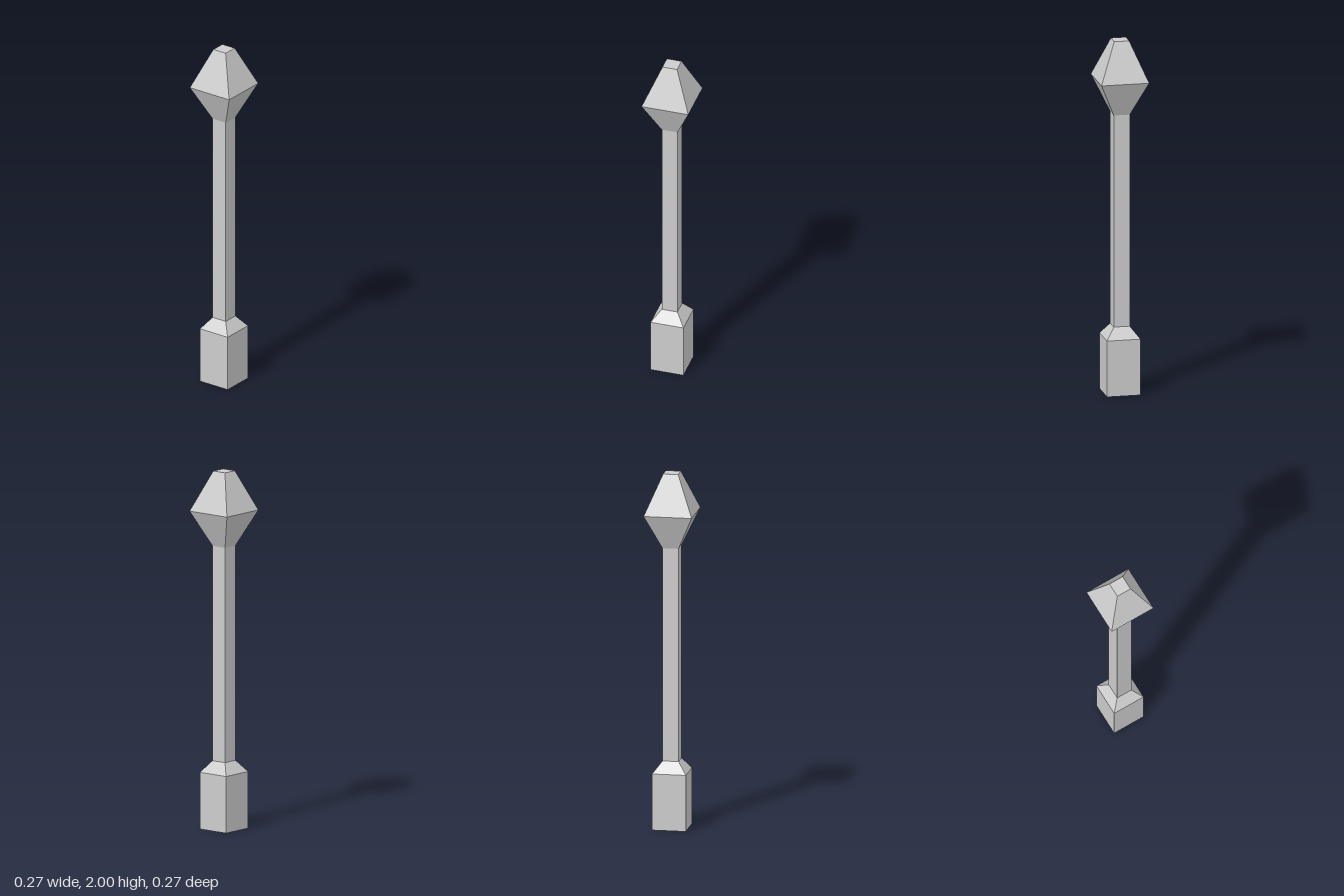
import * as THREE from 'three';

export function createModel() {
  const model = new THREE.Group();
  model.name = 'squarePost';

  const stone = new THREE.MeshStandardMaterial({ color: 0xcccccc, flatShading: true, side: THREE.DoubleSide });
  stone.name = 'lightGrey';

  // Square tapered section between two heights, given by half-widths, open at both ends
  function section(name, y0, half0, y1, half1) {
    const geometry = new THREE.CylinderGeometry(half1 * Math.SQRT2, half0 * Math.SQRT2, y1 - y0, 4, 1, true);
    geometry.rotateY(Math.PI / 4);
    geometry.translate(0, (y0 + y1) / 2, 0);
    const mesh = new THREE.Mesh(geometry, stone);
    mesh.name = name;
    model.add(mesh);
  }

  // Hollow base block with a sloped shoulder
  section('base', 0, 0.094, 0.317, 0.094);
  section('baseShoulder', 0.317, 0.094, 0.381, 0.045);

  // Slender shaft
  section('shaft', 0.381, 0.045, 1.582, 0.045);

  // Faceted finial
  section('finialLower', 1.582, 0.045, 1.778, 0.134);
  section('finialUpper', 1.778, 0.134, 2, 0.042);

  // Flat cap closing the finial
  const cap = new THREE.Mesh(new THREE.PlaneGeometry(0.084, 0.084).rotateX(-Math.PI / 2), stone);
  cap.name = 'finialCap';
  cap.position.y = 2;
  model.add(cap);

  return model;
}
